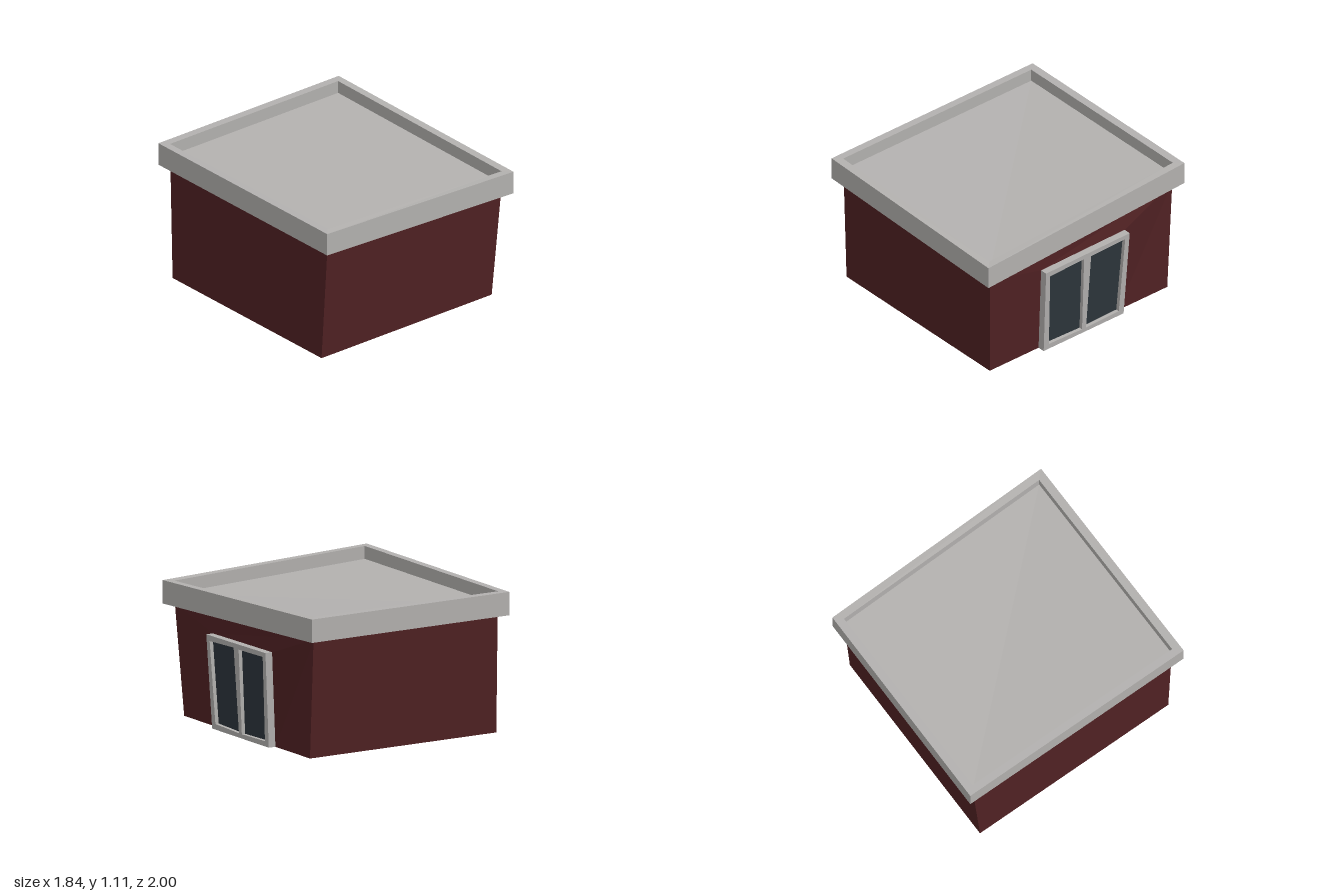
import * as THREE from 'three';

// Flat-shaded geometry from four-sided faces, corners counter-clockwise from outside
function quads(faces) {
  const pos = [];
  for (const [a, b, c, d] of faces) pos.push(...a, ...b, ...c, ...a, ...c, ...d);
  const geo = new THREE.BufferGeometry();
  geo.setAttribute('position', new THREE.Float32BufferAttribute(pos, 3));
  geo.computeVertexNormals();
  return geo;
}

// Faces joining two rings of corners
const band = (lower, upper) => lower.map((p, i) => {
  const j = (i + 1) % lower.length;
  return [p, lower[j], upper[j], upper[i]];
});

export function createModel() {
  const group = new THREE.Group();
  const concrete = new THREE.MeshStandardMaterial({ name: 'pale concrete', color: 0xb3b1af });
  const red = new THREE.MeshStandardMaterial({ name: 'dark red wall', color: 0x502123 });
  const glassBlue = new THREE.MeshStandardMaterial({ name: 'dark glass', color: 0x2d353c });
  const add = (name, geo, mat, parent = group) => {
    const mesh = new THREE.Mesh(geo, mat);
    mesh.name = name;
    parent.add(mesh);
    return mesh;
  };

  // Corner order: front left of picture, front right, back right, back left.
  // The front right corner of the roof sags.
  const sag = 0.062;
  const ring = (xz, y) => xz.map(([x, z], i) => [x, i === 1 ? y - sag : y, z]);
  const outer = [[-0.92, 1], [0.92, 1], [0.86, -1], [-0.92, -1]];
  const inner = [[-0.86, 0.935], [0.855, 0.935], [0.8, -0.935], [-0.86, -0.935]];

  // Roof slab with a raised rim around a sunken deck
  const under = ring(outer, 0.928), rimOuter = ring(outer, 1.11);
  const rimInner = ring(inner, 1.11), deck = ring(inner, 1.01);
  add('roof', quads([
    ...band(under, rimOuter),
    ...band(rimOuter, rimInner),
    ...band(rimInner, deck),
    [deck[1], deck[2], deck[3], deck[0]],
    [under[3], under[2], under[1], under[0]],
  ]), concrete);

  // Walls flare outwards towards the roof
  const foot = [[-0.88, 0, 0.885], [0.8, 0, 0.885], [0.8, 0, -0.88], [-0.88, 0, -0.88]];
  const head = ring([[-0.86, 0.93], [0.855, 0.93], [0.8, -0.93], [-0.86, -0.93]], 0.935);
  const sides = band(foot, head);
  add('frontWall', quads([sides[0]]), red);
  add('backWall', quads([sides[2]]), red);
  add('leftmostWall', quads([sides[3]]), red);

  // Door wall: panels in front of, behind and above the leaning door
  const f0 = [0.8, 0, 0.4], f1 = [0.845, 0.735, 0.41];
  const b0 = [0.8, 0, -0.395], b1 = [0.845, 0.742, -0.415];
  add('doorWall', quads([
    [foot[1], f0, f1, head[1]],
    [b0, foot[2], head[2], b1],
    [f1, b1, head[2], head[1]],
    [f0, b0, b1, f1],
  ]), red);
  add('floor', quads([[foot[3], foot[2], foot[1], foot[0]]]), concrete);

  // Double door, drawn flat and then turned to face +x and leaned outwards
  const door = new THREE.Group();
  door.name = 'doubleDoor';
  group.add(door);
  const lean = new THREE.Matrix4().makeBasis(
    new THREE.Vector3(0, 0, -1), new THREE.Vector3(0.06, 1, 0), new THREE.Vector3(1, 0, 0),
  ).setPosition(0.8, 0, 0);
  const points = (list) => list.map(([x, y]) => new THREE.Vector2(x, y));
  const panes = [
    [[-0.35, 0.045], [-0.02, 0.035], [-0.033, 0.703], [-0.37, 0.69]],
    [[0.02, 0.035], [0.345, 0.042], [0.375, 0.707], [0.037, 0.7]],
  ];
  const frame = new THREE.Shape(points([[-0.4, 0], [0.395, 0], [0.418, 0.745], [-0.413, 0.735]]));
  frame.holes = panes.map((p) => new THREE.Path(points(p)));
  const frameGeo = new THREE.ExtrudeGeometry(frame, { depth: 0.06, bevelEnabled: false });
  add('doorFrame', frameGeo.applyMatrix4(lean), concrete, door);
  panes.forEach((p, i) => {
    const pane = new THREE.ShapeGeometry(new THREE.Shape(points(p))).translate(0, 0, 0.03);
    add(i ? 'backPane' : 'frontPane', pane.applyMatrix4(lean), glassBlue, door);
  });

  return group;
}
